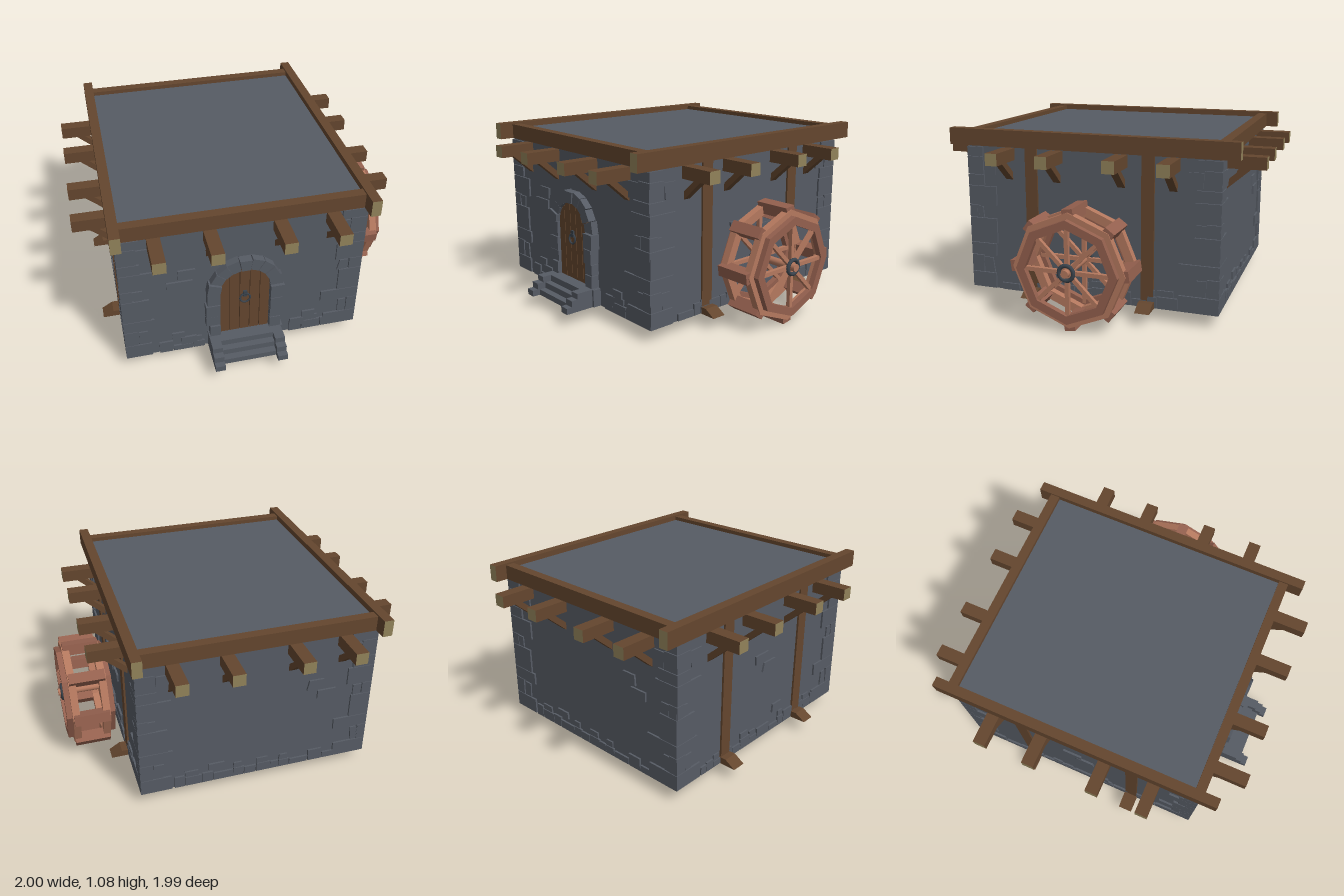
import * as THREE from 'three';

const mat = (name, color, side = THREE.FrontSide) => {
  const m = new THREE.MeshStandardMaterial({ color, side });
  m.name = name;
  return m;
};

export function createModel() {
  const stone = mat('slate stone', 0x565b64);
  const wallMat = mat('slate wall', 0x565b64, THREE.DoubleSide);
  const wood = mat('dark wood', 0x64462e);
  const endGrain = mat('cut end grain', 0x91825a);
  const wheelWood = mat('reddish wheel wood', 0xb4785e);
  const wheelDark = mat('dark wheel wood', 0x94604e);
  const iron = mat('iron', 0x3a434c);

  const model = new THREE.Group();
  model.name = 'watermill';
  let seed = 7;
  const rnd = (a, b) => {
    seed = (seed * 16807) % 2147483647;
    return a + (b - a) * (seed / 2147483647);
  };
  const add = (parent, name, geo, material, x = 0, y = 0, z = 0) => {
    const m = new THREE.Mesh(geo, material);
    m.name = name;
    m.position.set(x, y, z);
    parent.add(m);
    return m;
  };
  // box given by its minimum and maximum corners
  const block = (parent, name, a, b, material) => add(parent, name,
    new THREE.BoxGeometry(b[0] - a[0], b[1] - a[1], b[2] - a[2]), material,
    (a[0] + b[0]) / 2, (a[1] + b[1]) / 2, (a[2] + b[2]) / 2);
  const extrude = (pts, depth, hole) => {
    const s = new THREE.Shape(pts.map(p => new THREE.Vector2(p[0], p[1])));
    if (hole) s.holes.push(new THREE.Path(hole.map(p => new THREE.Vector2(p[0], p[1]))));
    return new THREE.ExtrudeGeometry(s, { depth, bevelEnabled: false });
  };

  const CX = -0.085, HX = 0.705, HZ = 0.77, Y0 = 0.08, Y1 = 0.985;

  // Roof slab and the frame of beams around it
  block(model, 'roof', [CX - HX, 1.0, -HZ], [CX + HX, 1.045, HZ], stone);
  const zEnds = [wood, wood, wood, wood, endGrain, endGrain];
  for (const x of [-0.797, 0.629])
    block(model, 'roofSideBeam', [x - 0.029, 0.98, -0.88], [x + 0.029, 1.08, 0.88], zEnds);
  for (const z of [-0.775, 0.762])
    block(model, 'roofCrossBeam', [-0.77, 0.98, z - 0.029], [0.6, 1.07, z + 0.029], wood);

  // One irregular stone on a wall: u, y is its lower left corner
  const wallStone = (face, u, y, w, h, out = 0.012, skew = 0.008) => {
    const g = new THREE.BoxGeometry(w - 0.004, h - 0.004, 0.06);
    const p = g.attributes.position;
    const s = [rnd(-skew, skew), rnd(-skew, skew), rnd(-skew, skew), rnd(-skew, skew)];
    for (let i = 0; i < p.count; i++) {
      const k = (p.getX(i) > 0 ? 1 : 0) + (p.getY(i) > 0 ? 2 : 0);
      p.setX(i, p.getX(i) + s[k]);
    }
    g.computeVertexNormals();
    add(face, 'wallStone', g, stone, u + w / 2, y + h / 2, out - 0.03);
  };

  // Corner stones, from the bottom: [height, width]
  const quoins = [[0.1, 0.2], [0.11, 0.13], [0.08, 0.21], [0.16, 0.15], [0.08, 0.12],
    [0.12, 0.18], [0.07, 0.12], [0.11, 0.19], [0.07, 0.14]];

  // Four walls; each is built in its own frame, outward along +z
  const walls = [
    { name: 'frontWall', x: CX, z: HZ, turn: 0, half: HX,
      loose: [[-0.39, 0.64, 0.1, 0.07], [-0.455, 0.57, 0.16, 0.06], [-0.44, 0.18, 0.08, 0.045],
        [-0.39, 0.12, 0.11, 0.06], [0.37, 0.18, 0.08, 0.05], [0.29, 0.12, 0.1, 0.06]] },
    { name: 'leftWall', x: CX + HX, z: 0, turn: Math.PI / 2, half: HZ, posts: true,
      loose: [[-0.1, 0.47, 0.12, 0.06], [-0.17, 0.53, 0.1, 0.06], [0.05, 0.48, 0.12, 0.055],
        [-0.18, 0.18, 0.15, 0.07], [0.08, 0.18, 0.13, 0.07]] },
    { name: 'backWall', x: CX, z: -HZ, turn: Math.PI, half: HX,
      loose: [[0.3, 0.62, 0.1, 0.07], [0.36, 0.55, 0.13, 0.06], [-0.3, 0.16, 0.1, 0.05]] },
    { name: 'rightWall', x: CX - HX, z: 0, turn: -Math.PI / 2, half: HZ, posts: true,
      loose: [[-0.1, 0.6, 0.12, 0.06], [-0.02, 0.53, 0.12, 0.06], [0.1, 0.2, 0.1, 0.06]] },
  ];
  walls.forEach((w, n) => {
    const face = new THREE.Group();
    face.name = w.name;
    face.position.set(w.x, 0, w.z);
    face.rotation.y = w.turn;
    model.add(face);
    add(face, 'wallPanel', new THREE.PlaneGeometry(w.half * 2, Y1 - Y0), wallMat, 0, (Y0 + Y1) / 2, 0);

    // corner stones on both ends, alternating so that rows interlock round the corner
    for (const side of [-1, 1]) {
      let y = Y0;
      quoins.forEach(([h, width], i) => {
        const q = width * (i % 2 === (side > 0 ? 0 : 1) ? 1.1 : 0.9) + rnd(-0.02, 0.02);
        const hh = Math.min(h, 0.97 - y);
        const split = i % 3 === 1 ? 0.55 : 1;
        const e = w.half + 0.012;
        wallStone(face, side > 0 ? e - q * split : -e, y, q * split, hh, 0.012, 0);
        if (split < 1)
          wallStone(face, side > 0 ? e - q : -e + q * split, y, q * (1 - split), hh * 0.9, 0.009);
        y += hh;
      });
    }
    // low footing course
    for (let u = -w.half + 0.19; u < w.half - 0.2;) {
      const sw = rnd(0.05, 0.13), sh = rnd(0.04, 0.09);
      if (n !== 0 || u > 0.23 || u + sw < -0.23) {
        wallStone(face, u, Y0, sw, sh, 0.012, 0.003);
        if (rnd(0, 1) > 0.7) wallStone(face, u, Y0 + sh, sw * 0.8, 0.04, 0.01, 0.003);
      }
      u += sw;
    }
    w.loose.forEach(s => wallStone(face, ...s));

    // joists with braces under them
    for (const u of [-0.507, -0.198, 0.2, 0.507]) {
      block(face, 'joist', [u - 0.037, 0.9, -0.03], [u + 0.037, 0.972, 0.22],
        [wood, wood, wood, wood, endGrain, wood]);
      const brace = add(face, 'joistBrace', new THREE.BoxGeometry(0.046, 0.035, 0.19), wood, u, 0.855, 0.058);
      brace.rotation.x = -0.72;
    }
    // posts with sloping feet
    if (w.posts) for (const u of [-0.36, 0.36]) {
      block(face, 'post', [u - 0.038, Y0, -0.04], [u + 0.038, Y1, 0.012], wood);
      const foot = add(face, 'postFoot',
        extrude([[-0.05, Y0], [0.115, Y0], [0.05, 0.12], [-0.05, 0.12]], 0.088), wood, u + 0.044, 0, 0);
      foot.rotation.y = -Math.PI / 2;
    }
  });

  // Arched doorway
  const door = new THREE.Group();
  door.name = 'doorway';
  door.position.set(CX, 0, HZ);
  model.add(door);
  const R = 0.15, SPRING = 0.525;
  const arcY = x => SPRING + Math.sqrt(Math.max(0, R * R - x * x));
  for (let i = 0; i < 5; i++) {
    const a = -R + i * 0.06 + 0.002, b = -R + (i + 1) * 0.06 - 0.002;
    const top = [1, 0.75, 0.5, 0.25, 0].map(t => [a + (b - a) * t, arcY(a + (b - a) * t)]);
    add(door, 'doorPlank', extrude([[a, 0.19], [b, 0.19], ...top], 0.02), wood, 0, 0, 0.004);
  }
  const ring = add(door, 'doorRing', new THREE.TorusGeometry(0.03, 0.006, 6, 16), iron, 0, 0.45, 0.034);
  ring.rotation.x = -0.1;
  block(door, 'ringPlate', [-0.012, 0.46, 0.02], [0.012, 0.5, 0.036], iron);
  // jamb stones
  for (const side of [-1, 1]) {
    const cuts = [0.08, 0.19, 0.27, 0.34, 0.43, SPRING];
    for (let i = 0; i < 5; i++) {
      const o = 0.225 + rnd(-0.015, 0.012), x = side > 0 ? [R, o] : [-o, -R];
      block(door, 'jambStone', [x[0], cuts[i] + 0.002, -0.03], [x[1], cuts[i + 1] - 0.002, 0.05 + rnd(-0.008, 0.008)], stone);
    }
  }
  // arch stones
  for (let i = 0; i < 9; i++) {
    const a = (i / 9) * Math.PI + 0.01, b = ((i + 1) / 9) * Math.PI - 0.01;
    const o = 0.222 + rnd(-0.006, 0.008);
    const at = (r, t) => [r * Math.cos(t), SPRING + r * Math.sin(t)];
    add(door, 'archStone', extrude([at(R, a), at(o, a), at(o, b), at(R, b)], 0.08 + rnd(-0.008, 0.008)), stone, 0, 0, -0.03);
  }
  // steps and their stepped curbs
  [[0.115, 0.182], [0.152, 0.14], [0.19, 0.1]].forEach(([top, out], i) =>
    block(door, 'step', [-0.163, i ? top - 0.038 : Y0, -0.02], [0.163, top, out], stone));
  for (const x of [-0.19, 0.19])
    [[0.08, 0.117, 0.23], [0.117, 0.155, 0.195], [0.155, 0.19, 0.155]].forEach(([a, b, out]) =>
      block(door, 'curbStone', [x - 0.03, a, 0], [x + 0.03, b, out], stone));

  // Water wheel, built around the z axis and turned to face sideways
  const wheel = new THREE.Group();
  wheel.name = 'waterWheel';
  wheel.position.set(0.823, 0.36, 0);
  wheel.rotation.y = Math.PI / 2;
  model.add(wheel);
  const octagon = r => Array.from({ length: 8 }, (_, i) =>
    [r * Math.cos(i * Math.PI / 4), r * Math.sin(i * Math.PI / 4)]);
  for (const s of [-1, 1]) {
    const at = (c, d) => s * c - d / 2;
    add(wheel, 'outerRim', extrude(octagon(0.335), 0.045, octagon(0.28)), wheelWood, 0, 0, at(0.093, 0.045));
    add(wheel, 'innerRim', extrude(octagon(0.3), 0.035, octagon(0.25)), wheelDark, 0, 0, at(0.132, 0.035));
    for (let i = 0; i < 8; i++) {
      const t = i * Math.PI / 4;
      const spoke = add(wheel, 'spoke', new THREE.BoxGeometry(0.25, 0.024, 0.024), wheelWood,
        0.145 * Math.cos(t), 0.145 * Math.sin(t), s * 0.125);
      spoke.rotation.z = t;
    }
    add(wheel, 'hubRing', new THREE.TorusGeometry(0.043, 0.012, 8, 20), iron, 0, 0, s * 0.142);
  }
  for (let i = 0; i < 8; i++) {
    const t = i * Math.PI / 4;
    const paddle = add(wheel, 'paddle', new THREE.BoxGeometry(0.07, 0.065, 0.22), wheelDark,
      0.317 * Math.cos(t), 0.317 * Math.sin(t), 0);
    paddle.rotation.z = t + 0.15;
  }
  const axle = add(wheel, 'axle', new THREE.CylinderGeometry(0.023, 0.023, 0.335, 12), wheelWood);
  axle.rotation.x = Math.PI / 2;

  return model;
}
